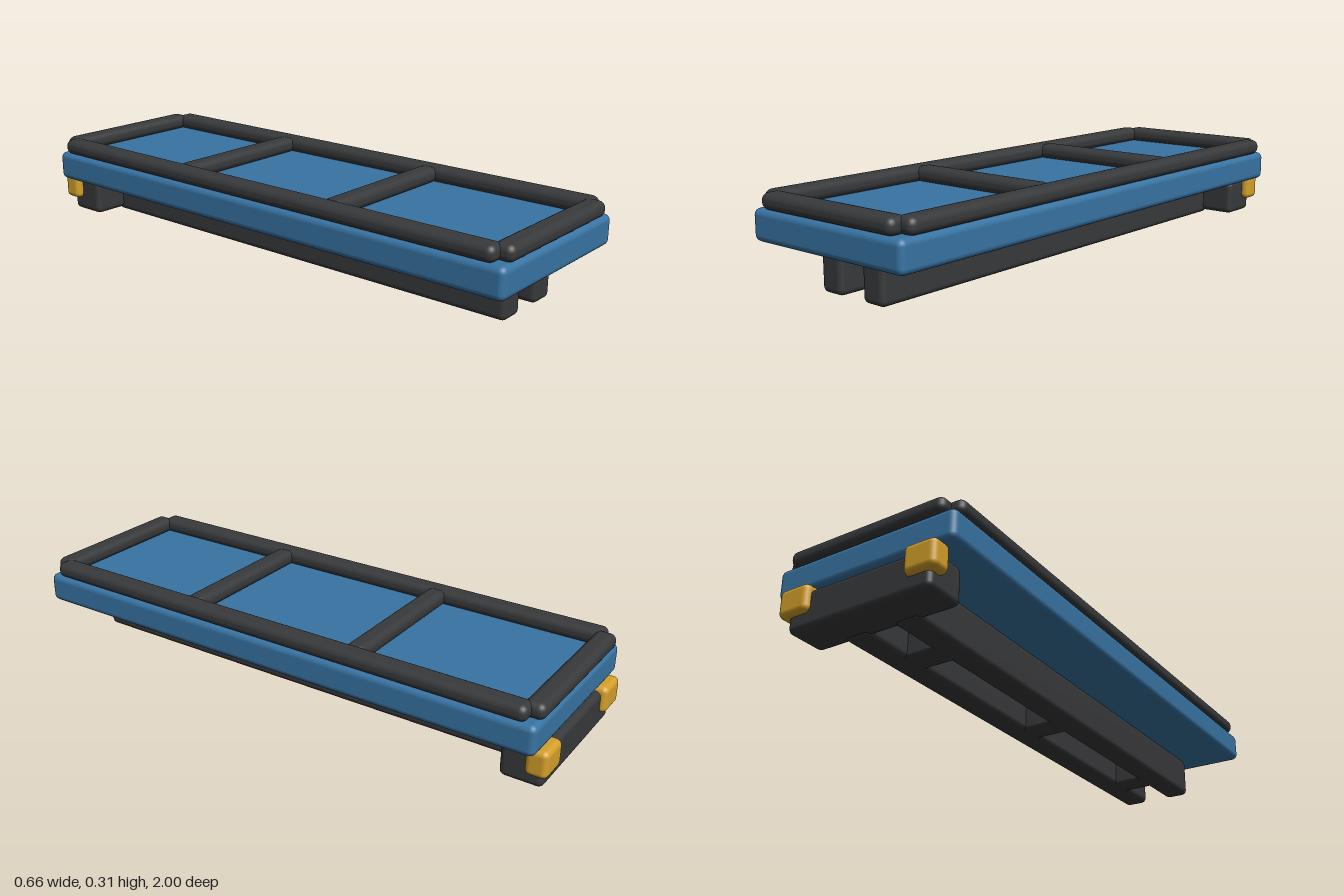
import * as THREE from 'three';
import { RoundedBoxGeometry } from 'three/addons/geometries/RoundedBoxGeometry.js';

const blue = new THREE.MeshStandardMaterial({ color: 0x3874a3 });
const dark = new THREE.MeshStandardMaterial({ color: 0x38393b });
const yellow = new THREE.MeshStandardMaterial({ color: 0xd4a02a });

// Rounded block given by its extents along x, y and z
function block(parent, name, material, [x0, x1], [y0, y1], [z0, z1], radius) {
  const geometry = new RoundedBoxGeometry(x1 - x0, y1 - y0, z1 - z0, 3, radius);
  const mesh = new THREE.Mesh(geometry, material);
  mesh.position.set((x0 + x1) / 2, (y0 + y1) / 2, (z0 + z1) / 2);
  mesh.name = name;
  parent.add(mesh);
}

export function createModel() {
  const model = new THREE.Group();
  model.name = 'platform';

  // Deck slab
  block(model, 'deck', blue, [-0.33, 0.33], [0.147, 0.252], [-0.97, 1], 0.022);

  // Frame on top: end rails and two cross bars
  const frame = new THREE.Group();
  frame.name = 'topFrame';
  const railY = [0.25, 0.305];
  block(frame, 'frontRail', dark, [-0.29, 0.29], railY, [0.925, 1], 0.024);
  block(frame, 'backRail', dark, [-0.29, 0.29], railY, [-0.975, -0.902], 0.024);
  for (const z of [-0.32, 0.34])
    block(frame, 'crossBar', dark, [-0.28, 0.28], railY, [z - 0.036, z + 0.036], 0.024);

  // Underside: rear bumper and ties between the beams
  const chassis = new THREE.Group();
  chassis.name = 'chassis';
  block(chassis, 'rearBumper', dark, [-0.263, 0.263], [0.01, 0.138], [-0.98, -0.835], 0.02);
  for (const z of [-0.64, 0.02, 0.68])
    block(chassis, 'crossTie', dark, [-0.07, 0.07], [0.003, 0.147], [z - 0.05, z + 0.05], 0.01);

  // Mirrored parts: side rails, long beams and rear lamps
  for (const side of [-1, 1]) {
    const span = (a, b) => (side > 0 ? [a, b] : [-b, -a]);
    block(frame, 'sideRail', dark, span(0.256, 0.33), railY, [-0.935, 0.96], 0.024);
    block(chassis, 'beam', dark, span(0.046, 0.138), [0, 0.148], [-0.87, 0.9], 0.02);
    block(chassis, 'rearLamp', yellow, span(0.176, 0.29), [0.06, 0.155], [-1, -0.925], 0.02);
  }

  model.add(frame, chassis);
  return model;
}
